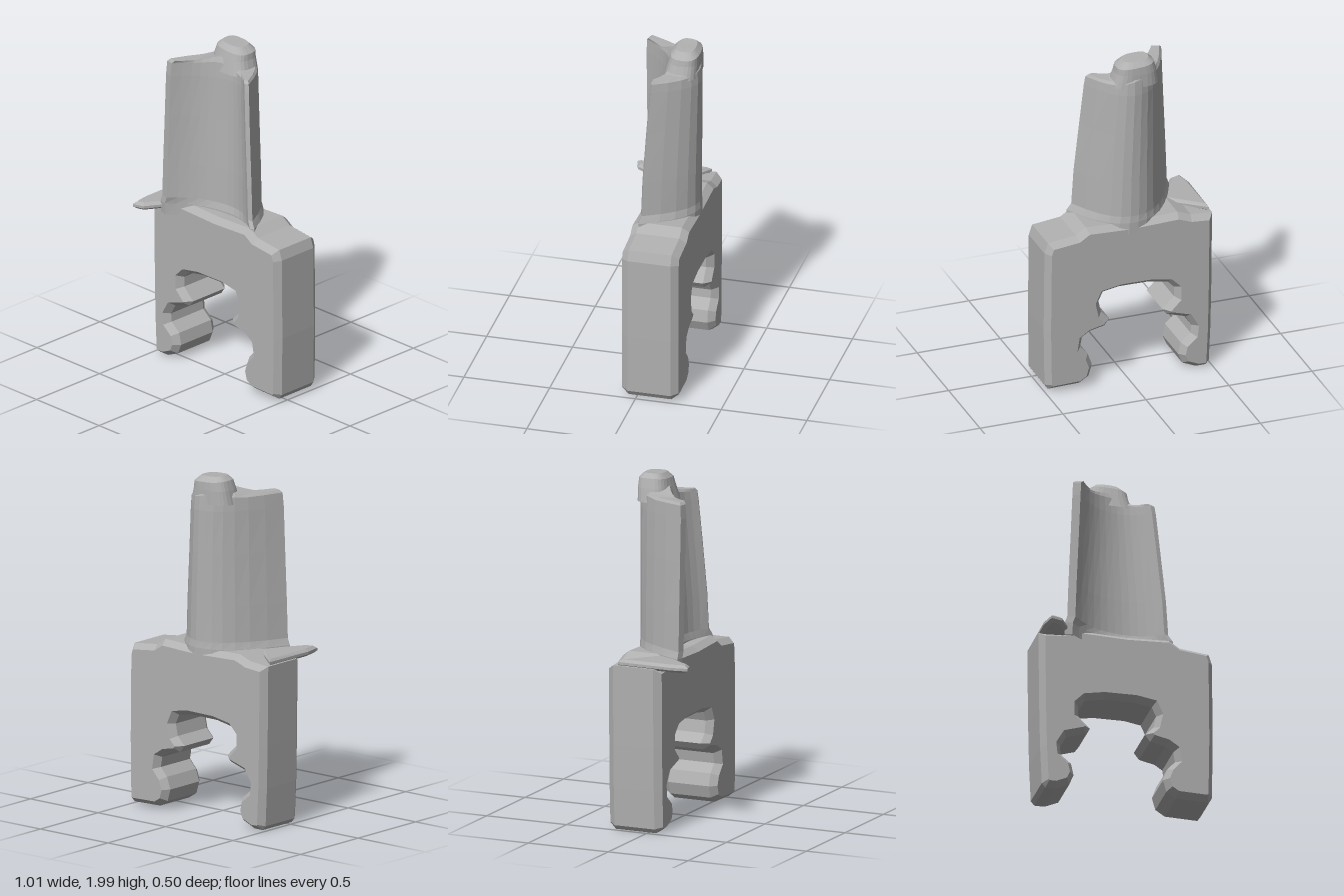
import * as THREE from 'three';

const N = 13; // points along each side of a cross-section

// Skin between rings of 2N points (back edge left to right, front edge right to left), capped on top.
function loft(rings) {
  const M = 2 * N, index = [], top = (rings.length - 1) * M;
  for (let j = 0; j < rings.length - 1; j++) {
    for (let i = 0; i < M; i++) {
      const a = j * M + i, b = j * M + (i + 1) % M;
      index.push(a, a + M, b, b, a + M, b + M);
    }
  }
  for (let i = 0; i < N - 1; i++) {
    const b0 = top + i, b1 = b0 + 1, f0 = top + M - 1 - i, f1 = f0 - 1;
    index.push(b0, f0, b1, b1, f0, f1);
  }
  const geo = new THREE.BufferGeometry();
  geo.setAttribute('position', new THREE.Float32BufferAttribute(rings.flat(2), 3));
  geo.setIndex(index);
  geo.computeVertexNormals();
  return geo;
}

// Crescent section of the curved back: tips at xl and xr, bowed towards -z.
function crescent(y, xl, xr, zl, zr, zBack, zFront, rise = 0) {
  const back = [], front = [];
  for (let i = 0; i < N; i++) {
    const u = -1 + 2 * i / (N - 1), t = (u + 1) / 2;
    const line = zl + (zr - zl) * t, mid = (zl + zr) / 2;
    const bow = 1 - Math.abs(u) ** 2.2;
    const yy = y + rise * Math.max(0, 1 - Math.abs(u + 0.05) * 1.6) + (y > 1.8 ? -0.015 * u : 0);
    back.push([xl + (xr - xl) * t, yy, line + (zBack - mid) * bow - 0.01]);
    const x0 = xl + 0.045, x1 = xr - 0.025;
    front.push([x0 + (x1 - x0) * t, yy, line + (zFront - mid) * bow]);
  }
  return [...back, ...front.reverse()];
}

// Rounded section for the knob.
function oval(y, x, z, rx, rz, tilt = 0) {
  const ring = [];
  for (let i = 0; i < 2 * N; i++) {
    const a = Math.PI + (i + 0.5) / (2 * N) * Math.PI * 2;
    const c = Math.cos(a), s = Math.sin(a);
    const sq = (v) => Math.sign(v) * Math.abs(v) ** 0.7;
    ring.push([x + rx * sq(c), y + tilt * c, z + rz * sq(s)]);
  }
  return ring;
}

const shapeOf = (pts) => new THREE.Shape(pts.map(([x, y]) => new THREE.Vector2(x, y)));

export function createModel() {
  const group = new THREE.Group();
  const grey = new THREE.MeshStandardMaterial({ color: 0xb0b0b0 });
  grey.name = 'plain grey';
  grey.flatShading = true;
  const add = (name, geo) => {
    const mesh = new THREE.Mesh(geo, grey);
    mesh.name = name;
    group.add(mesh);
    return mesh;
  };

  // Arched base with two legs and inward prongs
  const outline = [
    [-0.49, 0.03], [-0.5, 0.25], [-0.505, 0.5], [-0.51, 0.96], [-0.38, 0.97], [-0.3, 1.0],
    [0.0, 0.99], [0.25, 1.0], [0.31, 0.96], [0.48, 0.94], [0.5, 0.88], [0.505, 0.4],
    [0.5, 0.05], [0.48, 0.02], [0.29, 0.025], [0.235, 0.06], [0.215, 0.13], [0.24, 0.2],
    [0.285, 0.25], [0.275, 0.31], [0.23, 0.34], [0.14, 0.36], [0.11, 0.4], [0.16, 0.45],
    [0.175, 0.52], [0.15, 0.575], [0.05, 0.592], [-0.13, 0.59], [-0.24, 0.57], [-0.28, 0.53],
    [-0.28, 0.47], [-0.21, 0.4], [-0.235, 0.365], [-0.35, 0.33], [-0.385, 0.27], [-0.38, 0.22],
    [-0.32, 0.17], [-0.305, 0.1], [-0.33, 0.04], [-0.41, 0.005], [-0.47, 0.005],
  ];
  const base = new THREE.ExtrudeGeometry(shapeOf(outline), {
    depth: 0.25, bevelEnabled: true, bevelSize: 0.03, bevelOffset: -0.03, bevelThickness: 0.04, bevelSegments: 1,
  });
  base.translate(0, 0, -0.205);
  add('archedBase', base);

  // Ledge whose corner juts out at the front
  const ledgeOutline = [[-0.5, 0.18], [-0.505, -0.15], [-0.485, -0.25], [-0.42, -0.23], [-0.36, -0.13],
    [-0.27, -0.08], [-0.3, 0.02]];
  const ledge = new THREE.ExtrudeGeometry(shapeOf(ledgeOutline), {
    depth: 0.015, bevelEnabled: true, bevelSize: 0.02, bevelOffset: -0.02, bevelThickness: 0.015, bevelSegments: 1,
  });
  ledge.rotateX(-Math.PI / 2).translate(0, 0.965, 0);
  add('cornerLedge', ledge);

  // Tall curved back, thick in the middle and thin at both edges
  add('curvedBack', loft([
    crescent(0.93, -0.38, 0.28, 0.14, 0.05, -0.235, -0.01),
    crescent(1.0, -0.38, 0.275, 0.145, 0.05, -0.235, -0.01),
    crescent(1.04, -0.365, 0.25, 0.145, 0.04, -0.23, -0.02),
    crescent(1.25, -0.358, 0.238, 0.145, 0.035, -0.23, -0.025),
    crescent(1.55, -0.345, 0.21, 0.145, 0.02, -0.23, -0.035),
    crescent(1.8, -0.335, 0.187, 0.145, 0.005, -0.23, -0.04),
    crescent(1.865, -0.33, 0.18, 0.14, 0.0, -0.225, -0.045, 0.03),
    crescent(1.88, -0.315, 0.165, 0.13, -0.01, -0.205, -0.06, 0.05),
  ]));

  // Lump on the top edge
  add('topKnob', loft([
    oval(1.84, -0.06, -0.135, 0.14, 0.1),
    oval(1.92, -0.065, -0.145, 0.12, 0.09),
    oval(1.965, -0.06, -0.15, 0.11, 0.083, -0.01),
    oval(1.995, -0.065, -0.15, 0.075, 0.055, -0.005),
  ]));

  return group;
}
